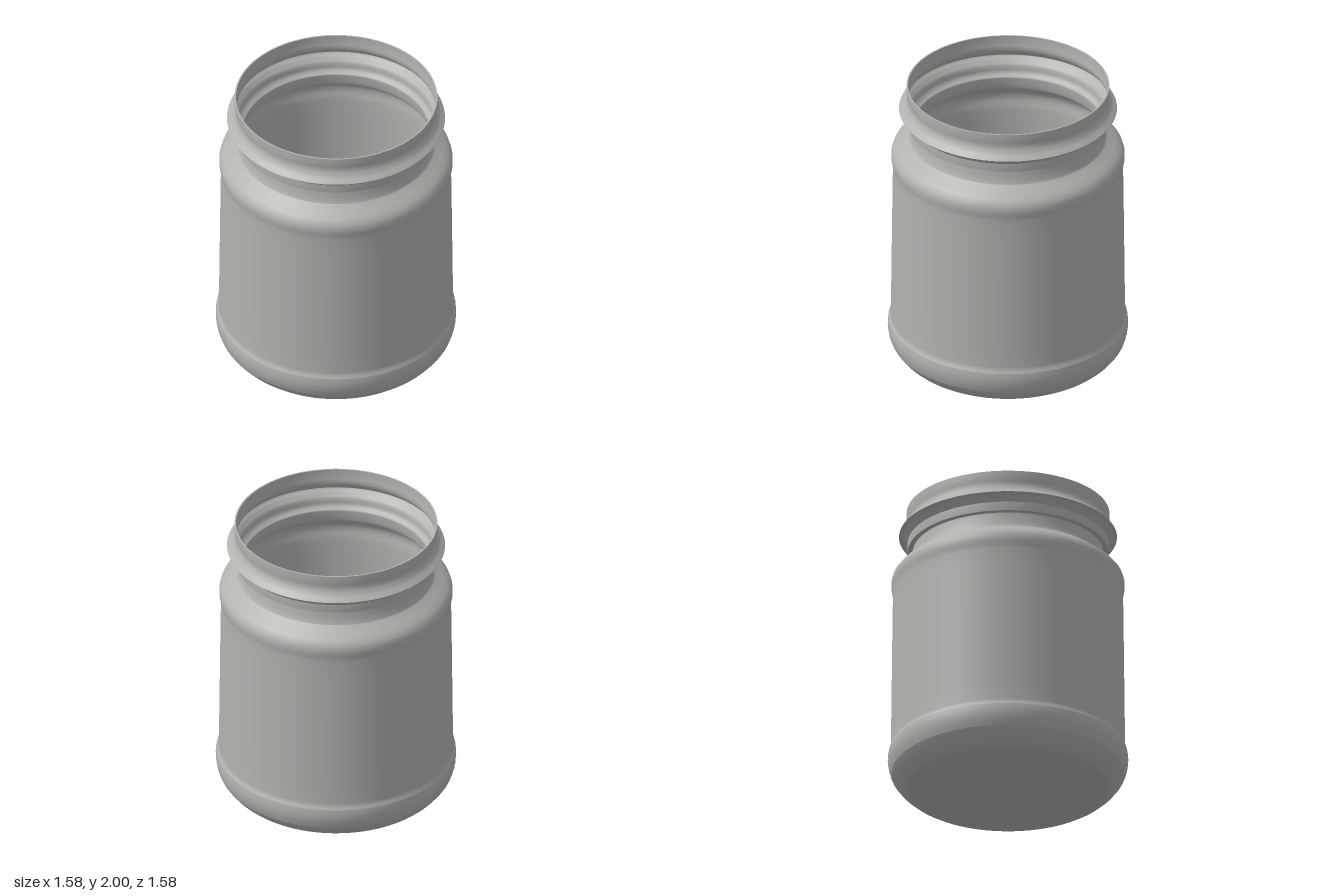
import * as THREE from 'three';

const SEGMENTS = 120;
const WALL = 0.01;

// Outer profile, bottom to top, split where the surface has a crisp edge
const sections = {
  underside: [[0, 0], [0.4, 0], [0.655, 0]],
  baseCurve: [[0.655, 0], [0.69, 0.022], [0.725, 0.053], [0.755, 0.09], [0.768, 0.11]],
  gripBand: [[0.768, 0.11], [0.777, 0.135], [0.784, 0.16], [0.788, 0.185], [0.79, 0.21], [0.789, 0.235], [0.785, 0.26]],
  body: [[0.785, 0.26], [0.774, 0.28], [0.77, 0.3], [0.769, 0.4], [0.766, 0.65], [0.762, 1],
    [0.758, 1.3], [0.757, 1.4], [0.762, 1.43], [0.767, 1.46], [0.767, 1.49],
    [0.758, 1.52], [0.735, 1.548], [0.7, 1.573], [0.665, 1.597], [0.647, 1.613]],
  neck: [[0.647, 1.613], [0.637, 1.635], [0.633, 1.67], [0.628, 1.7], [0.628, 1.715]],
  collarLedge: [[0.628, 1.715], [0.658, 1.718]],
  collar: [[0.658, 1.718], [0.661, 1.75], [0.661, 1.778]],
  sealFlangeUnder: [[0.661, 1.778], [0.672, 1.792], [0.688, 1.808], [0.697, 1.82], [0.717, 1.828]],
  sealFlangeTop: [[0.717, 1.828], [0.709, 1.837], [0.694, 1.848], [0.682, 1.862]],
  rim: [[0.682, 1.862], [0.668, 1.882], [0.661, 1.905], [0.663, 1.93], [0.668, 1.955], [0.667, 2]]
};

function lathe(points) {
  return new THREE.LatheGeometry(points.map(([r, y]) => new THREE.Vector2(r, y)), SEGMENTS);
}

// Raise a fine pattern of grip bumps on a band, leaving its edges plain
function addGrip(geometry, rows) {
  const p = geometry.attributes.position;
  for (let i = 0; i < p.count; i++) {
    const row = i % rows, column = Math.floor(i / rows);
    if (row === 0 || row === rows - 1) continue;
    const k = 1 + ((row + column) % 2 ? 0.0015 : -0.0015);
    p.setXYZ(i, p.getX(i) * k, p.getY(i), p.getZ(i) * k);
  }
  geometry.computeVertexNormals();
}

export function createModel() {
  const jar = new THREE.Group();
  jar.name = 'jar';
  const grey = new THREE.MeshStandardMaterial({ color: 0xb2b2af });
  grey.name = 'light grey';

  const add = (name, geometry) => {
    const mesh = new THREE.Mesh(geometry, grey);
    mesh.name = name;
    jar.add(mesh);
  };

  // Outside surfaces
  for (const [name, points] of Object.entries(sections)) {
    const geometry = lathe(points);
    if (name === 'gripBand') addGrip(geometry, points.length);
    add(name, geometry);
  }

  // Inside wall follows the outside at a thin offset, down to the floor
  const inside = Object.entries(sections)
    .filter(([name]) => name !== 'underside')
    .flatMap(([, points], i) => (i ? points.slice(1) : points))
    .map(([r, y]) => [r - WALL, Math.max(y, WALL)])
    .reverse();
  add('insideWall', lathe(inside));
  add('insideFloor', lathe([[0.655 - WALL, WALL], [0.4, WALL], [0, WALL]]));

  // Thin lip joining both walls
  add('lip', lathe([[0.667, 2], [0.667 - WALL, 2]]));

  return jar;
}
